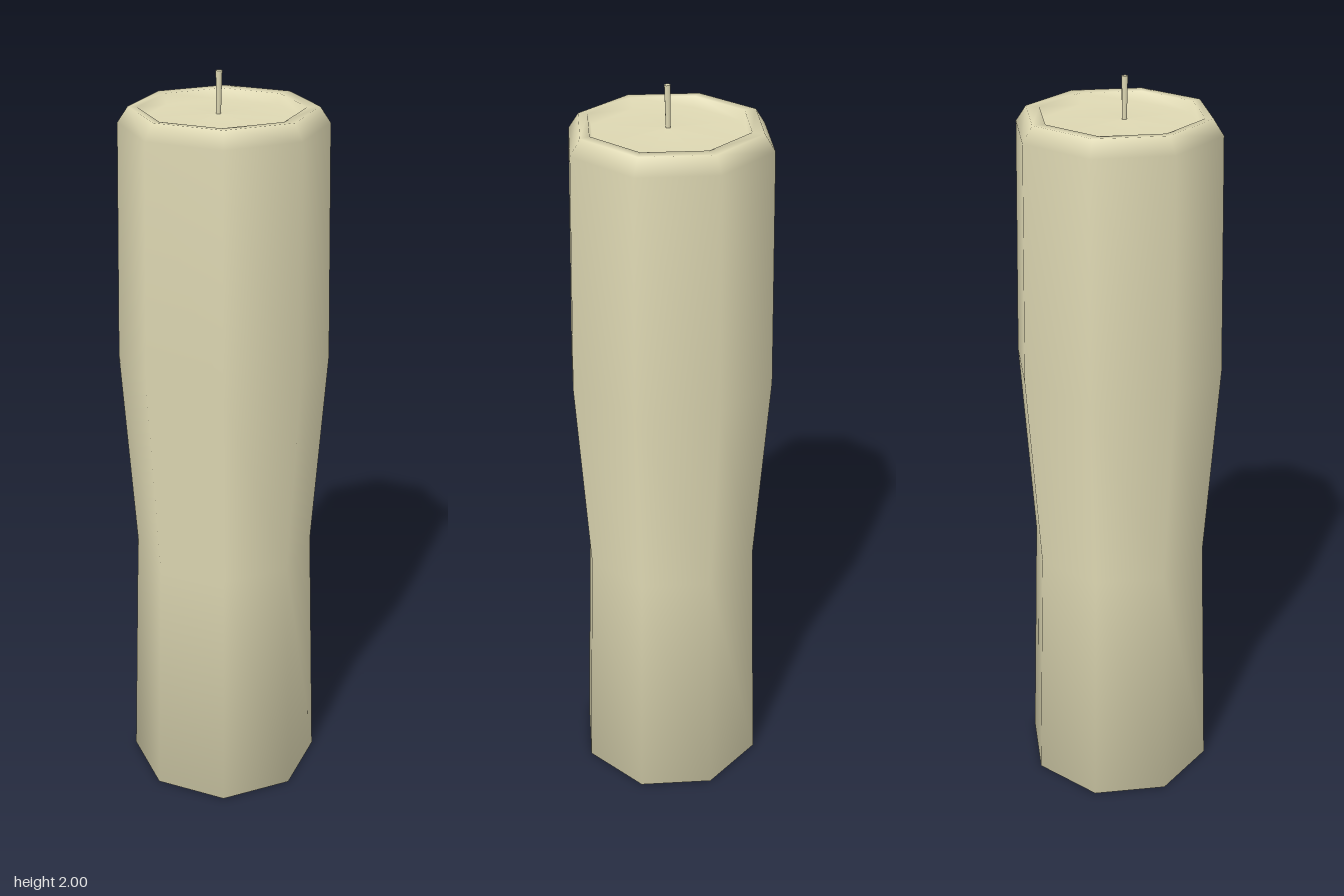
import * as THREE from 'three';

const WICK_Z = 0.016;

export function createModel() {
  const candle = new THREE.Group();
  candle.name = 'candle';
  const wax = new THREE.MeshStandardMaterial({ color: 0xddd7b2 });

  // Eight-sided wax body: base, waist, belly, bevelled rim, hollow top
  const profile = [
    [0, 0], [0.263, 0], [0.24, 0.7], [0.277, 1.25], [0.263, 1.87],
    [0.236, 1.91], [0.208, 1.909], [0.2, 1.882], [0, 1.895],
  ].map(([r, y]) => new THREE.Vector2(r, y));
  const bodyGeometry = new THREE.LatheGeometry(profile, 8);

  // The hollow sits slightly forward, its centre most of all
  const pos = bodyGeometry.attributes.position;
  for (let i = 0; i < pos.count; i++) {
    const r = Math.hypot(pos.getX(i), pos.getZ(i));
    if (pos.getY(i) > 1.8 && r < 0.22) {
      pos.setZ(i, pos.getZ(i) + (r < 0.01 ? WICK_Z : 0.007));
    }
  }
  const body = new THREE.Mesh(bodyGeometry, wax);
  body.name = 'waxBody';
  candle.add(body);

  // Thin wick with a very slight lean
  const wickGeometry = new THREE.CylinderGeometry(0.008, 0.006, 0.115, 8);
  const wick = new THREE.Mesh(wickGeometry, wax);
  wick.name = 'wick';
  wick.position.set(-0.002, 1.9425, WICK_Z);
  wick.rotation.z = -0.02;
  candle.add(wick);

  return candle;
}
